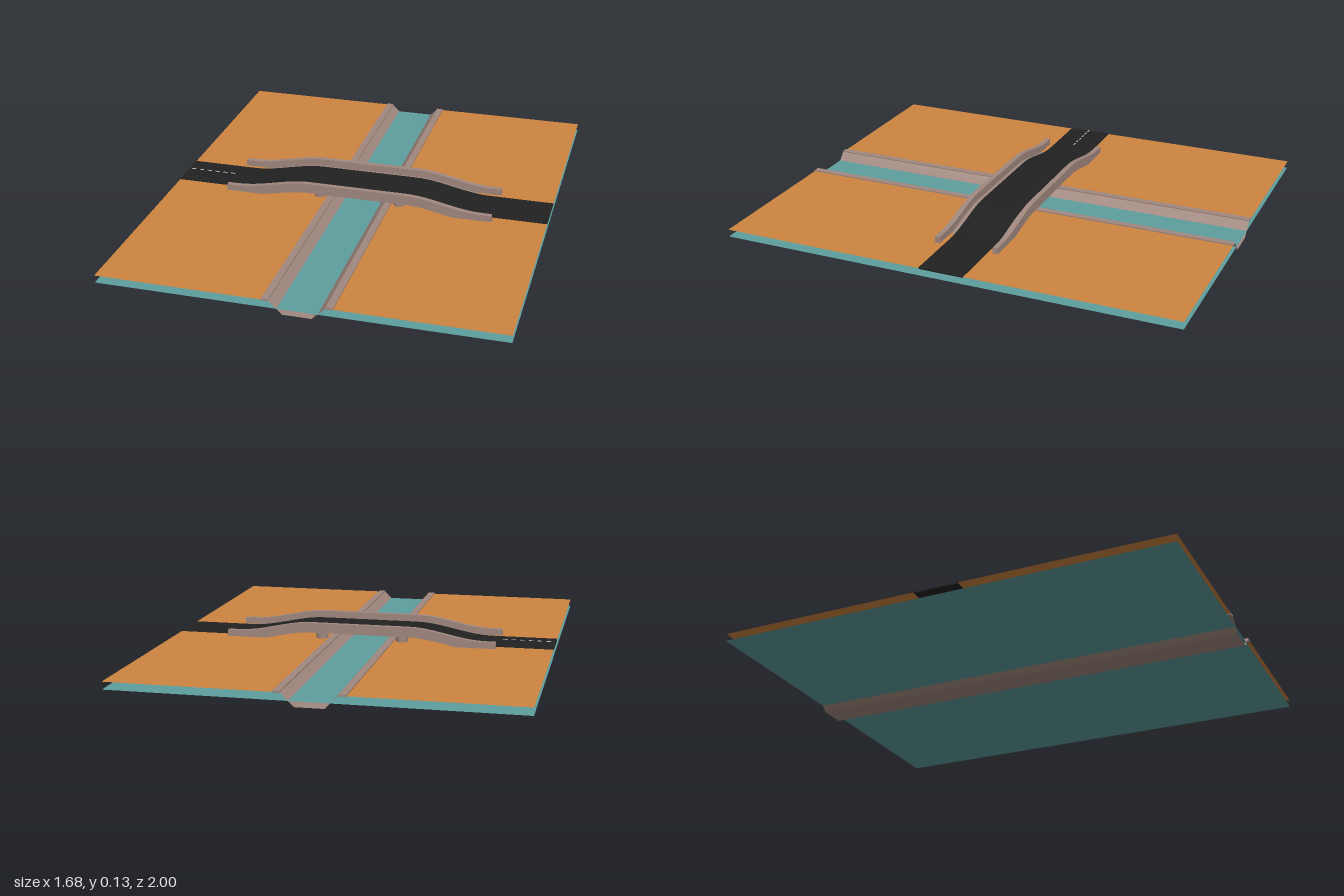
import * as THREE from 'three';

const mat = (name, color, side = THREE.FrontSide) => {
  const m = new THREE.MeshStandardMaterial({ color, side });
  m.name = name;
  return m;
};

export function createModel() {
  const group = new THREE.Group();
  const sand = mat('sand', 0xcd853f, THREE.DoubleSide);
  const water = mat('water', 0x5f9ea0, THREE.DoubleSide);
  const stone = mat('stone', 0xa1887f, THREE.DoubleSide);
  const asphalt = mat('asphalt', 0x212121);
  const paint = mat('paint', 0xc8c0b8);

  const add = (name, geo, material, x = 0, y = 0, z = 0) => {
    const m = new THREE.Mesh(geo, material);
    m.name = name;
    m.position.set(x, y, z);
    group.add(m);
    return m;
  };
  // horizontal sheet spanning x0..x1 over the full depth
  const sheet = (name, x0, x1, y, material) =>
    add(name, new THREE.PlaneGeometry(x1 - x0, 2).rotateX(-Math.PI / 2), material, (x0 + x1) / 2, y, 0);

  const CX = 0.005; // canal and bridge centre line

  // ground and water
  sheet('groundRight', -0.84, -0.125, 0.055, sand);
  sheet('groundLeft', 0.135, 0.84, 0.055, sand);
  sheet('water', -0.84, 0.84, 0.023, water);

  // open canal trough: sloped banks and flat bed
  sheet('canalBed', CX - 0.06, CX + 0.06, 0, stone);
  for (const s of [-1, 1]) {
    const w = 0.055, h = 0.055;
    const bank = new THREE.PlaneGeometry(Math.hypot(w, h), 2).rotateX(-Math.PI / 2);
    bank.rotateZ(s * Math.atan2(h, w));
    add('canalBank', bank, stone, CX + s * (0.06 + w / 2), h / 2, 0);
    add('canalCurb', new THREE.BoxGeometry(0.03, 0.008, 2), stone, CX + s * 0.13, 0.056, 0);
  }

  // rise of the bridge along x: flat ends, S-curve, flat middle
  const rise = (x) => 0.048 * (1 - THREE.MathUtils.smoothstep(Math.abs(x - CX), 0.22, 0.55));

  // strip following the bridge curve between heights lo and hi, from z0 to z1
  const strip = (x0, x1, lo, hi, z0, z1) => {
    const xs = [x0];
    for (let i = -14; i <= 14; i++) {
      const x = CX + i * 0.04;
      if (x > x0 && x < x1) xs.push(x);
    }
    xs.push(x1);
    const pts = xs.map((x) => new THREE.Vector2(x, lo + rise(x)));
    xs.reverse().forEach((x) => pts.push(new THREE.Vector2(x, hi + rise(x))));
    const geo = new THREE.ExtrudeGeometry(new THREE.Shape(pts), { depth: z1 - z0, bevelEnabled: false });
    return geo.translate(0, 0, z0);
  };

  // bridge deck, parapets and road
  add('bridgeDeck', strip(-0.595, 0.605, 0.04, 0.051, -0.12, 0.12), stone);
  add('parapetFront', strip(-0.595, 0.605, 0.04, 0.083, 0.12, 0.143), stone);
  add('parapetBack', strip(-0.595, 0.605, 0.04, 0.083, -0.143, -0.12), stone);
  add('road', strip(-0.84, 0.84, 0.0515, 0.058, -0.098, 0.098), asphalt);

  // lane dashes on the approach
  for (let i = 0; i < 6; i++) {
    add('laneDash', new THREE.BoxGeometry(0.02, 0.002, 0.005), paint, -0.81 + i * 0.038, 0.067, 0);
  }

  // bridge pillars
  for (const x of [-0.175, 0.185]) {
    for (const z of [-0.08, 0.08]) {
      add('pillar', new THREE.CylinderGeometry(0.027, 0.027, 0.048, 12), stone, x, 0.069, z);
    }
  }
  return group;
}
